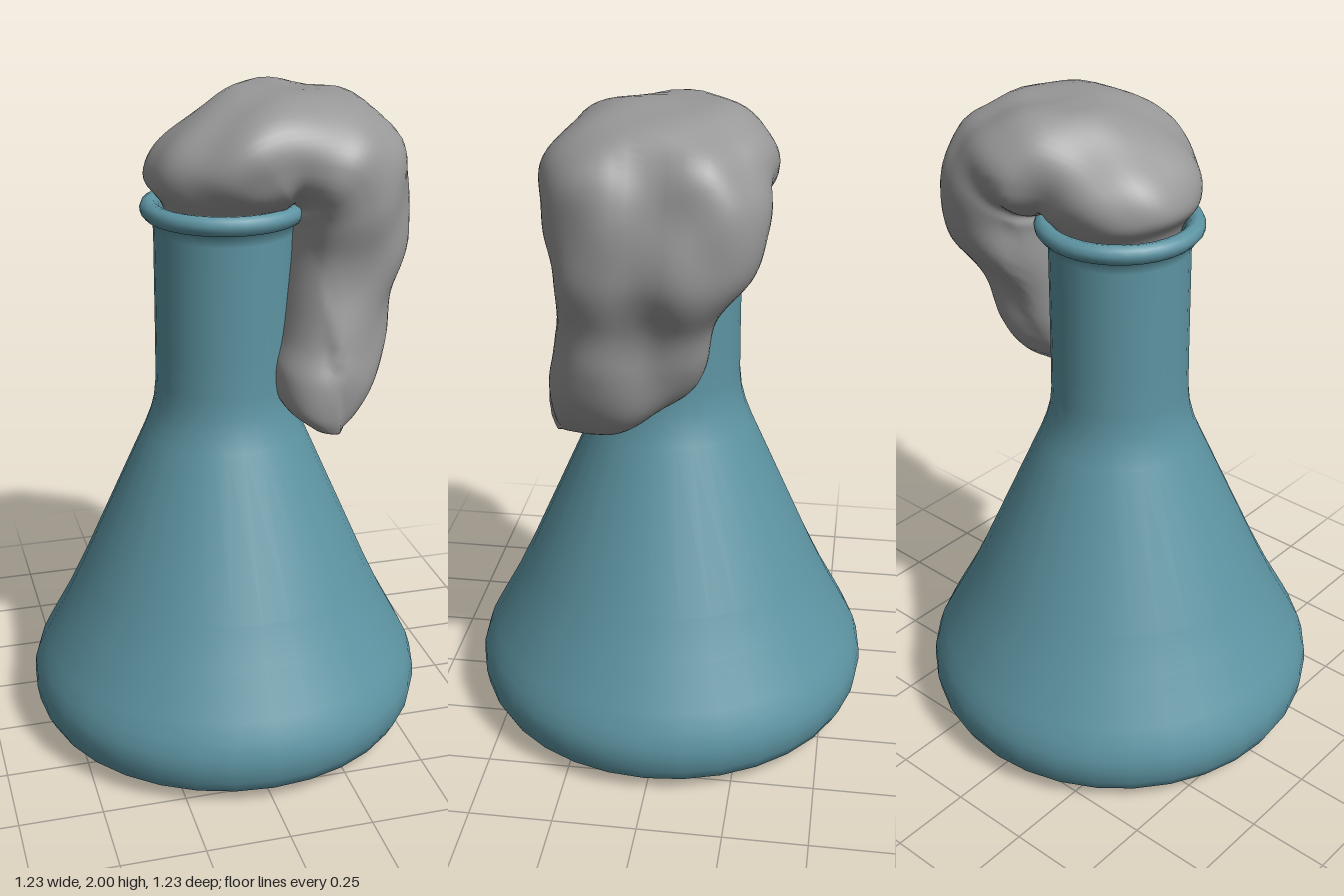
import * as THREE from 'three';
import { mergeVertices } from 'three/addons/utils/BufferGeometryUtils.js';

const glass = new THREE.MeshStandardMaterial({ color: 0x5d94a2, side: THREE.DoubleSide });
const foamGrey = new THREE.MeshStandardMaterial({ color: 0x989898 });

// Conical flask: foot ring, rounded base, cone, neck, rolled lip and inner neck wall
function makeFlask() {
  const profile = [
    [0, 0.025], [0.39, 0.025], [0.41, 0.018], [0.425, 0.005], [0.44, 0], [0.457, 0.004], [0.464, 0.022],
    [0.52, 0.022], [0.55, 0.03], [0.585, 0.052], [0.606, 0.092], [0.614, 0.14], [0.611, 0.18],
    [0.597, 0.225], [0.572, 0.275], [0.502, 0.405], [0.445, 0.525], [0.245, 0.98], [0.226, 1.03],
    [0.213, 1.08], [0.207, 1.14], [0.206, 1.25], [0.206, 1.6], [0.211, 1.635], [0.231, 1.64],
    [0.243, 1.655], [0.245, 1.67], [0.239, 1.685], [0.222, 1.694], [0.205, 1.69], [0.19, 1.675],
    [0.185, 1.64], [0.185, 1.5],
  ].map(([r, y]) => new THREE.Vector2(r, y));
  return new THREE.LatheGeometry(profile, 32);
}

// Each row: inner x, y, outer x, y, back z, front z of one foam cross-section
const sections = [
  [0.15, 1.58, -0.15, 1.58, -0.15, 0.15],
  [0.16, 1.64, -0.18, 1.68, -0.17, 0.17],
  [0.16, 1.66, -0.225, 1.76, -0.2, 0.2],
  [0.16, 1.67, -0.17, 1.86, -0.23, 0.25],
  [0.16, 1.68, -0.05, 1.95, -0.25, 0.28],
  [0.17, 1.68, 0.12, 2.0, -0.31, 0.28],
  [0.18, 1.67, 0.34, 1.99, -0.3, 0.31],
  [0.17, 1.65, 0.48, 1.9, -0.31, 0.31],
  [0.17, 1.62, 0.53, 1.77, -0.3, 0.3],
  [0.165, 1.55, 0.54, 1.59, -0.27, 0.28],
  [0.15, 1.43, 0.48, 1.42, -0.18, 0.28],
  [0.13, 1.30, 0.46, 1.29, -0.13, 0.29],
  [0.11, 1.21, 0.41, 1.17, -0.07, 0.32],
  [0.13, 1.11, 0.35, 1.08, 0.05, 0.32],
  [0.21, 1.045, 0.29, 1.03, 0.17, 0.3],
];

// Foam: sections swept out of the mouth and down the side, then made lumpy
function makeFoam() {
  const spline = (ix, iz) => new THREE.CatmullRomCurve3(
    sections.map((s) => new THREE.Vector3(s[ix], s[ix + 1], s[iz])), false, 'catmullrom', 0.5);
  const inner = spline(0, 4), outer = spline(2, 5);
  const rows = 90, cols = 56;
  const pos = [], index = [];
  const soft = (v) => Math.sign(v) * Math.pow(Math.abs(v), 0.8);
  for (let i = 0; i <= rows; i++) {
    const a = inner.getPoint(i / rows), b = outer.getPoint(i / rows);
    const end = i === 0 || i === rows ? 0 : 1;
    for (let j = 0; j < cols; j++) {
      const t = (j / cols) * Math.PI * 2;
      // rounded on the outside, squarer on the inside
      const x = Math.cos(t);
      const c = 0.5 + 0.5 * end * (x > 0 ? x : soft(x));
      const w = 0.5 + 0.5 * end * soft(Math.sin(t));
      pos.push(a.x + (b.x - a.x) * c, a.y + (b.y - a.y) * c, a.z + (b.z - a.z) * w);
      if (i < rows) {
        const k = (j + 1) % cols, p = i * cols;
        index.push(p + j, p + cols + j, p + k, p + k, p + cols + j, p + cols + k);
      }
    }
  }
  let geo = new THREE.BufferGeometry();
  geo.setAttribute('position', new THREE.Float32BufferAttribute(pos, 3));
  geo.setIndex(index);
  geo = mergeVertices(geo, 1e-5);
  geo.computeVertexNormals();

  // Wind the skin outward, judged by the sign of its volume
  const p = geo.attributes.position, n = geo.attributes.normal, id = geo.index;
  const [A, B, C] = [0, 1, 2].map(() => new THREE.Vector3());
  let volume = 0;
  for (let f = 0; f < id.count; f += 3) {
    [A, B, C].forEach((v, k) => v.fromBufferAttribute(p, id.getX(f + k)));
    volume += A.dot(B.cross(C));
  }
  const sign = volume < 0 ? -1 : 1;
  if (sign < 0) id.array.reverse();

  for (let i = 0; i < p.count; i++) {
    A.fromBufferAttribute(p, i);
    B.fromBufferAttribute(n, i);
    const fade = THREE.MathUtils.smoothstep(A.y + Math.max(0, A.x - 0.2) * 9, 1.66, 1.8);
    const lump = 0.011 * Math.sin(15 * A.x + 9 * A.z + 1) * Math.sin(13 * A.y - 8 * A.z)
      + 0.006 * Math.sin(24 * A.z + 11 * A.y) * Math.cos(21 * A.x - 13 * A.y);
    // a shallow valley splits the outer bulge into two lobes
    const valley = -0.035 * Math.exp(-Math.pow((A.z - 0.01) / 0.08, 2))
      * THREE.MathUtils.smoothstep(A.x, 0.38, 0.52);
    A.addScaledVector(B, sign * fade * (lump + valley));
    p.setXYZ(i, A.x, Math.min(A.y, 2), A.z);
  }
  geo.computeVertexNormals();
  return geo;
}

export function createModel() {
  const model = new THREE.Group();
  model.name = 'foamingFlask';
  const add = (name, geometry, material) => {
    const mesh = new THREE.Mesh(geometry, material);
    mesh.name = name;
    model.add(mesh);
  };
  add('flask', makeFlask(), glass);
  add('foam', makeFoam(), foamGrey);
  return model;
}
